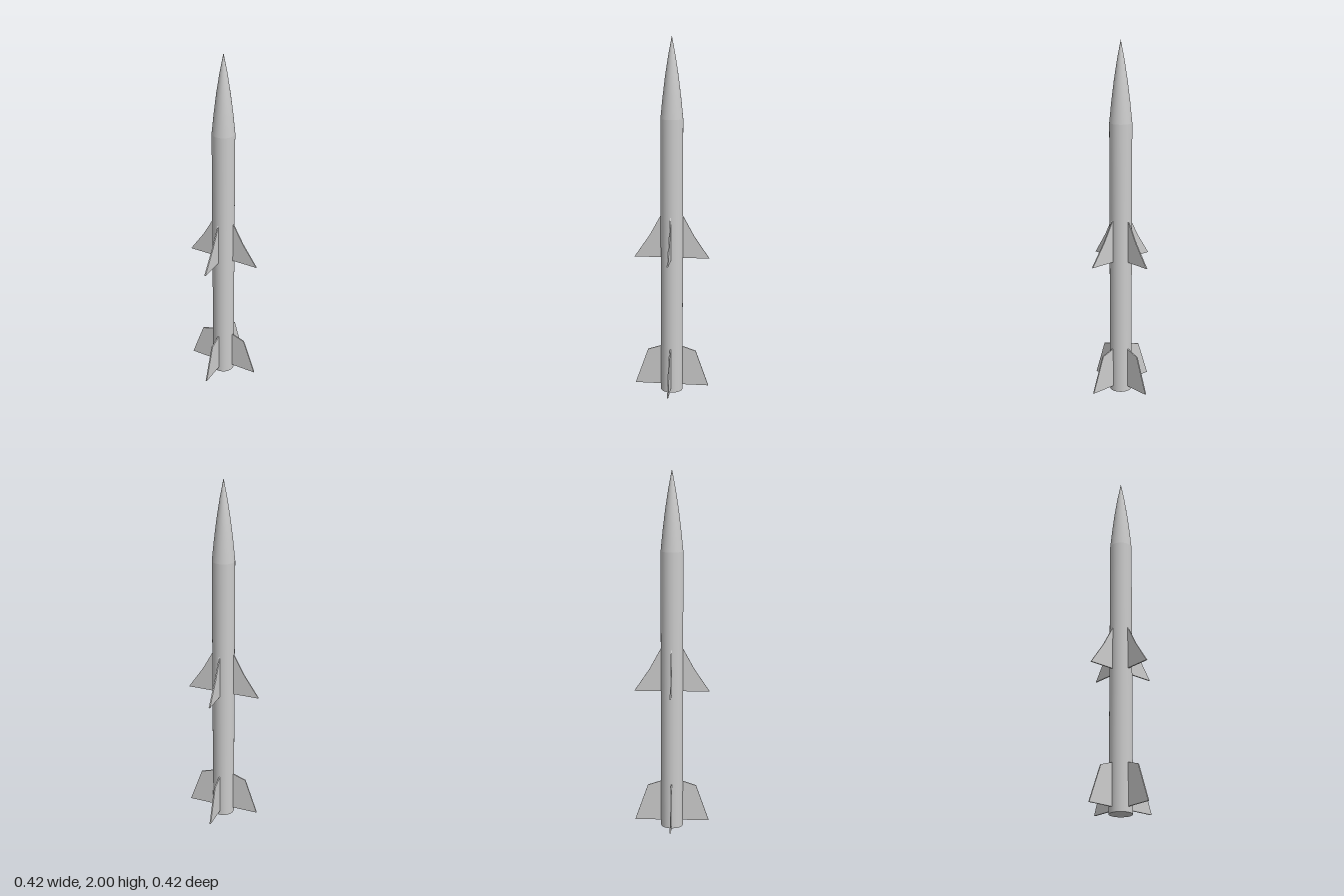
import * as THREE from 'three';

const R = 0.062;
const SIDES = 32;
const FIN_THICKNESS = 0.007;

export function createModel() {
  const model = new THREE.Group();
  model.name = 'rocket';
  const material = new THREE.MeshStandardMaterial({ color: 0xcccccc });

  const add = (parent, name, geometry) => {
    const mesh = new THREE.Mesh(geometry, material);
    mesh.name = name;
    parent.add(mesh);
    return mesh;
  };

  // Straight body tube with a closed tail
  const body = add(model, 'body', new THREE.CylinderGeometry(R, R, 1.56, SIDES));
  body.position.y = 0.78;

  // Gently curved pointed nose
  const nose = [[R, 1.56], [0.051, 1.67], [0.037, 1.785], [0.02, 1.895], [0, 2]];
  add(model, 'noseCone', new THREE.LatheGeometry(nose.map(([r, y]) => new THREE.Vector2(r, y)), SIDES));

  // Four equal flat fins around the body, rooted inside the tube
  const addFinSet = (name, outline) => {
    const set = new THREE.Group();
    set.name = name + 's';
    const shape = new THREE.Shape(outline.map(([x, y]) => new THREE.Vector2(x, y)));
    const geometry = new THREE.ExtrudeGeometry(shape, { depth: FIN_THICKNESS, bevelEnabled: false });
    geometry.translate(0, 0, -FIN_THICKNESS / 2);
    for (let i = 0; i < 4; i++) add(set, name, geometry).rotation.y = (i * Math.PI) / 2;
    model.add(set);
  };

  // Swept mid-body wings with a kinked leading edge
  addFinSet('wing', [[0.05, 0.785], [0.21, 0.785], [0.125, 0.91], [R, 1.025], [0.05, 1.045]]);

  // Clipped tail fins
  addFinSet('tailFin', [[0.05, 0.03], [0.21, 0.03], [0.137, 0.236], [R, 0.261], [0.05, 0.265]]);

  return model;
}
